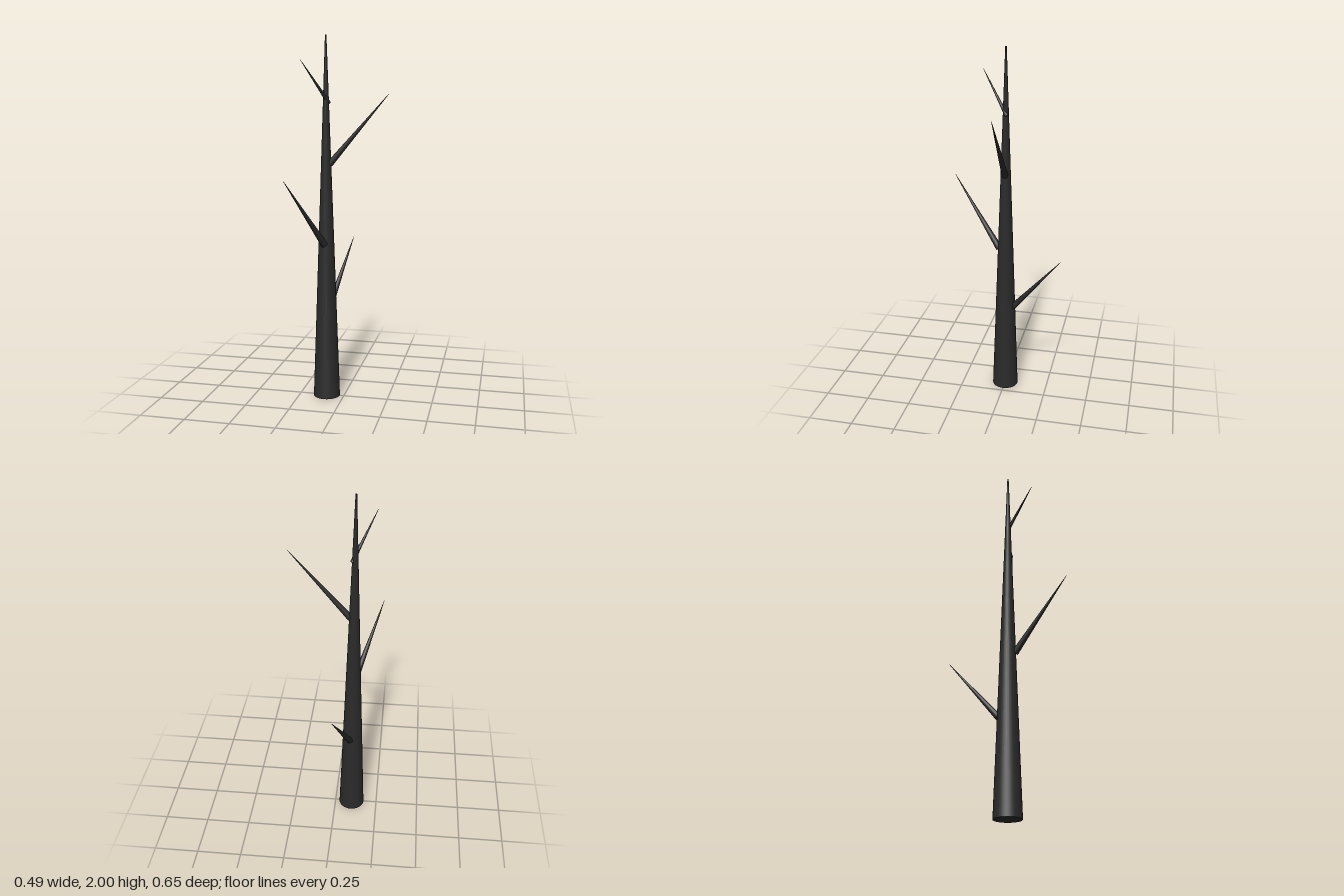
import * as THREE from 'three';

export function createModel() {
  const group = new THREE.Group();
  const bark = new THREE.MeshStandardMaterial({ color: 0x2a2a2a });
  bark.name = 'charredBark';

  // tapered limb running from a base point to a tip point
  function limb(name, base, tip, baseRadius, tipRadius, sides) {
    const a = new THREE.Vector3(...base);
    const b = new THREE.Vector3(...tip);
    const dir = b.clone().sub(a);
    const mesh = new THREE.Mesh(
      new THREE.CylinderGeometry(tipRadius, baseRadius, dir.length(), sides), bark);
    mesh.name = name;
    mesh.position.copy(a).add(b).multiplyScalar(0.5);
    mesh.quaternion.setFromUnitVectors(new THREE.Vector3(0, 1, 0), dir.normalize());
    group.add(mesh);
  }

  // trunk
  limb('trunk', [-0.098, 0, 0], [-0.098, 2, 0], 0.074, 0.004, 32);

  // bare branches, lowest to highest
  limb('backBranch', [-0.085, 0.525, -0.05], [-0.01, 0.86, -0.325], 0.018, 0.001, 16);
  limb('frontBranch', [-0.1, 0.875, 0.037], [-0.244, 1.25, 0.324], 0.019, 0.001, 16);
  limb('leftBranch', [-0.078, 1.315, 0], [0.243, 1.69, 0], 0.018, 0.001, 16);
  limb('topTwig', [-0.083, 1.642, -0.008], [-0.199, 1.865, 0.144], 0.011, 0.001, 16);

  return group;
}
